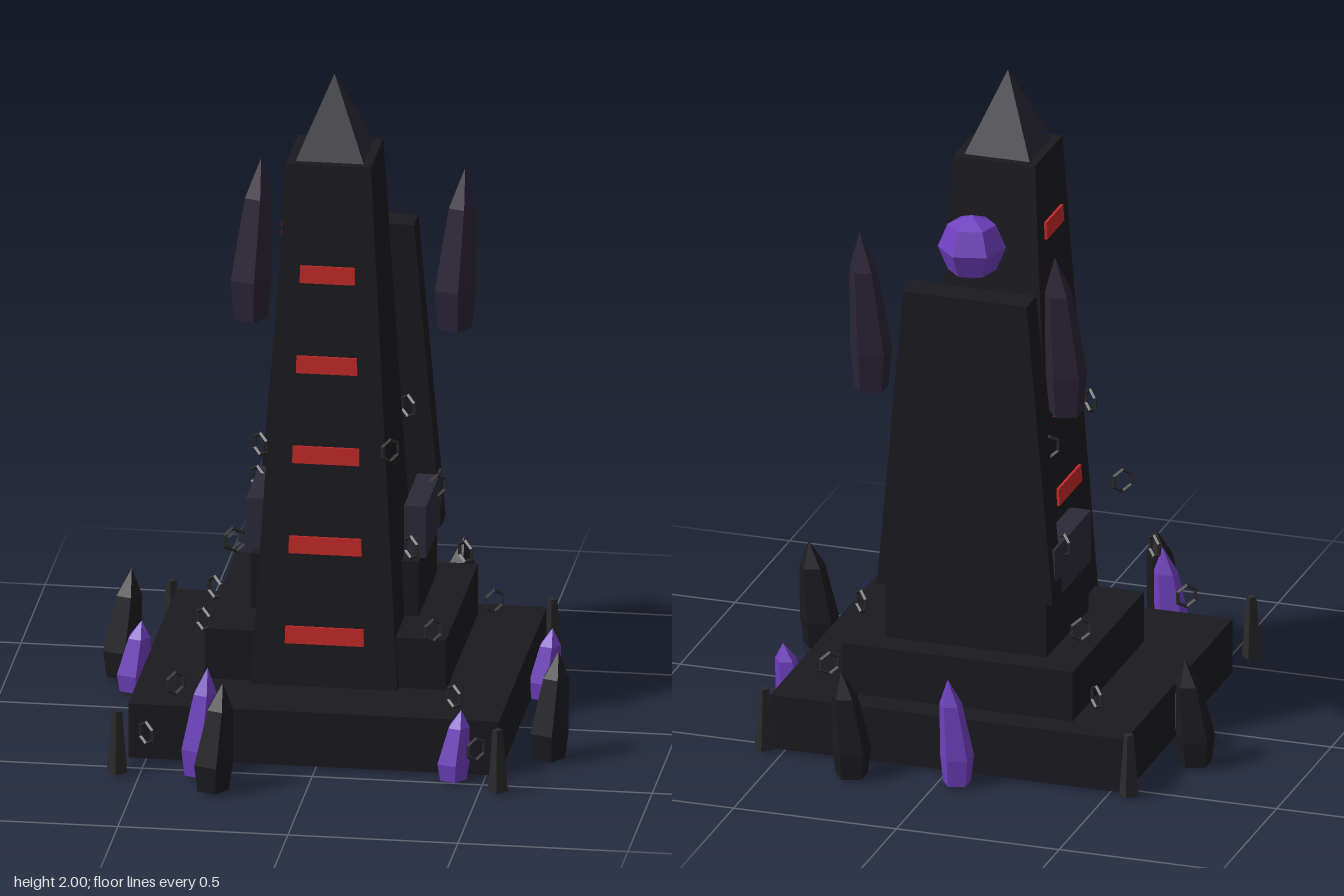
import * as THREE from 'three';

const mat = (color) => new THREE.MeshStandardMaterial({ color, flatShading: true });
const stone = mat(0x1a1a1f);
const trim = mat(0x2d2a38);
const capStone = mat(0x2a2833);
const red = mat(0xc42828);
const purple = mat(0x7040c0);
const darkCrystal = mat(0x1c1b20);
const shardStone = mat(0x2c2436);
const iron = mat(0x2a2a2c);

const TOWER_H = 1.76, TOWER_BASE = 0.225, TOWER_TOP = 0.125;
const towerHalf = (y) => TOWER_BASE + (TOWER_TOP - TOWER_BASE) * y / TOWER_H;

function add(parent, name, geometry, material, x = 0, y = 0, z = 0) {
  const mesh = new THREE.Mesh(geometry, material);
  mesh.name = name;
  mesh.position.set(x, y, z);
  parent.add(mesh);
  return mesh;
}

// Box given by its limits on each axis
function block(parent, name, material, [x0, x1], [y0, y1], [z0, z1]) {
  return add(parent, name, new THREE.BoxGeometry(x1 - x0, y1 - y0, z1 - z0), material,
    (x0 + x1) / 2, (y0 + y1) / 2, (z0 + z1) / 2);
}

// Four-sided taper with its flat sides facing the axes
function taper(topHalf, bottomHalf, height) {
  return new THREE.CylinderGeometry(topHalf * Math.SQRT2, bottomHalf * Math.SQRT2, height, 4)
    .rotateY(Math.PI / 4).translate(0, height / 2, 0);
}

// Upright trapezoid slab, thickness along z
function trapezoid(bottomHalf, topHalf, height, depth) {
  const shape = new THREE.Shape([
    new THREE.Vector2(-bottomHalf, 0), new THREE.Vector2(bottomHalf, 0),
    new THREE.Vector2(topHalf, height), new THREE.Vector2(-topHalf, height),
  ]);
  return new THREE.ExtrudeGeometry(shape, { depth, bevelEnabled: false });
}

// Five-sided crystal whose upper part leans towards its tip
function crystalGeometry(r, h) {
  const profile = [[0, 0], [0.82, 0], [1, 0.25], [0.66, 0.76], [0, 1]]
    .map(([a, b]) => new THREE.Vector2(a * r, b * h));
  const g = new THREE.LatheGeometry(profile, 5).rotateY(Math.PI / 2);
  const p = g.attributes.position;
  for (let i = 0; i < p.count; i++) {
    const lean = Math.max(0, p.getY(i) / h - 0.25) / 0.75 * r;
    p.setX(i, p.getX(i) + lean * 0.48);
    p.setZ(i, p.getZ(i) - lean * 0.2);
  }
  g.computeVertexNormals();
  return g;
}

export function createModel() {
  const model = new THREE.Group();
  model.name = 'obeliskThrone';
  model.position.set(-0.005, 0, 0.005);

  // Stepped platform
  block(model, 'platform', stone, [-0.545, 0.545], [0.008, 0.175], [-0.55, 0.432]);
  block(model, 'step', stone, [-0.355, 0.355], [0.17, 0.33], [-0.465, 0.188]);

  // Throne behind the obelisk
  const throne = new THREE.Group();
  throne.name = 'throne';
  model.add(throne);
  block(throne, 'seat', stone, [-0.247, 0.247], [0.33, 0.5], [-0.381, 0]);
  block(throne, 'leftArmrest', trim, [0.2, 0.265], [0.5, 0.66], [-0.36, -0.03]);
  block(throne, 'rightArmrest', trim, [-0.265, -0.2], [0.5, 0.66], [-0.36, -0.03]);
  add(throne, 'backrest', trapezoid(0.27, 0.19, 0.93, 0.09), stone, 0, 0.5, -0.395);
  const orb = add(throne, 'orb', new THREE.SphereGeometry(0.1, 6, 4), purple, 0, 1.57, -0.33);
  orb.rotation.y = 0.25;
  for (const s of [-1, 1])
    add(throne, 'floatingShard', crystalGeometry(0.064, 0.49), shardStone, s * 0.3, 1.1, -0.36);

  // Obelisk and its pointed cap
  add(model, 'obelisk', taper(TOWER_TOP, TOWER_BASE, TOWER_H), stone);
  add(model, 'cap', taper(0, 0.1, 2 - TOWER_H), capStone, 0, TOWER_H, 0);

  // Glowing bands on the front and right faces, following the slope
  const slope = Math.atan((TOWER_BASE - TOWER_TOP) / TOWER_H);
  for (const [angle, start] of [[0, 0.305], [-Math.PI / 2, 0.417]]) {
    const face = new THREE.Group();
    face.name = 'bands';
    face.rotation.y = angle;
    model.add(face);
    for (let i = 0; i < 5; i++) {
      const y = start + i * 0.274;
      const band = add(face, 'band',
        trapezoid(0.56 * towerHalf(y), 0.56 * towerHalf(y + 0.05), 0.052, 0.016), red,
        0, y, towerHalf(y) - 0.008);
      band.rotation.x = -slope;
    }
  }

  // Crystals around the platform: x, z, radius, height, material
  const crystals = [
    [0.255, -0.67, 0.06, 0.325, darkCrystal], [-0.665, -0.265, 0.06, 0.325, darkCrystal],
    [0.665, 0.255, 0.06, 0.325, darkCrystal], [-0.265, 0.66, 0.06, 0.325, darkCrystal],
    [-0.055, -0.63, 0.052, 0.325, purple], [-0.325, 0.535, 0.055, 0.325, purple],
    [-0.615, -0.145, 0.052, 0.21, purple], [0.58, -0.25, 0.05, 0.21, purple],
    [0.415, 0.475, 0.05, 0.21, purple],
  ];
  for (const [x, z, r, h, m] of crystals)
    add(model, 'crystal', crystalGeometry(r, h), m, x, 0.008, z);

  // Corner posts, each with a row of chain links curving down to it
  const link = new THREE.TorusGeometry(0.033, 0.006, 4, 6).rotateZ(Math.PI / 2);
  const linkHeights = [0.91, 0.64, 0.413, 0.238, 0.105];
  for (const sx of [-1, 1]) for (const sz of [-1, 1]) {
    add(model, 'cornerPost', new THREE.CylinderGeometry(0.015, 0.03, 0.19, 4), iron,
      sx * 0.56, 0.103, sz * 0.56);
    linkHeights.forEach((y, i) => {
      const d = 0.19 + 0.0735 * i;
      const ring = add(model, 'chainLink', link, iron, sx * d, y, sz * d);
      ring.rotation.y = Math.atan2(sx, sz) + i * Math.PI / 2;
    });
  }

  const root = new THREE.Group();
  root.name = 'model';
  root.add(model);
  return root;
}
